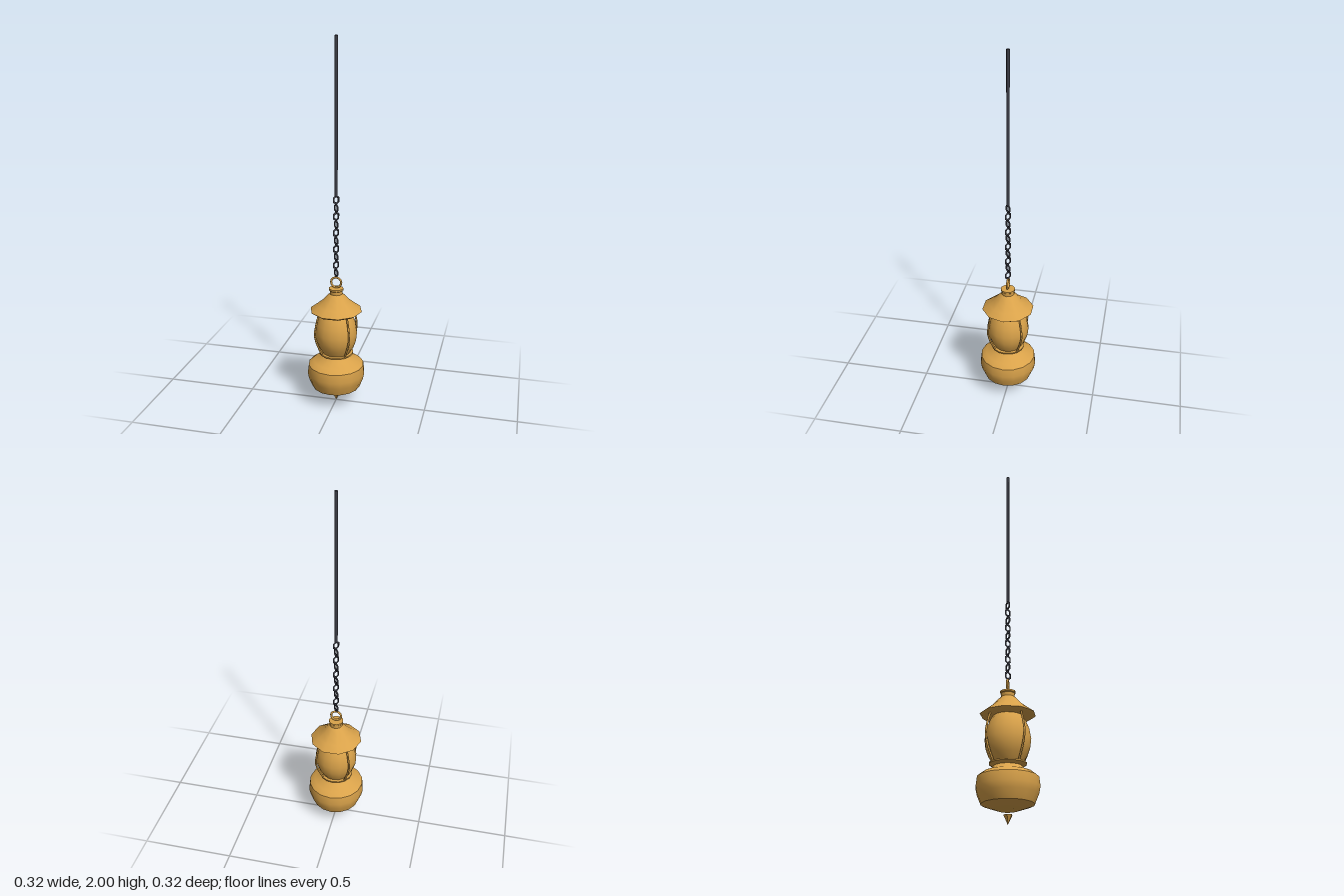
import * as THREE from 'three';
import { toCreasedNormals } from 'three/addons/utils/BufferGeometryUtils.js';

const brass = new THREE.MeshStandardMaterial({ color: 0xd9a24a });
brass.name = 'brass';
const iron = new THREE.MeshStandardMaterial({ color: 0x3a3b44 });
iron.name = 'dark iron';

function add(parent, name, geometry, material) {
  const mesh = new THREE.Mesh(geometry, material);
  mesh.name = name;
  parent.add(mesh);
  return mesh;
}

// Turned part from a profile of [radius, height], listed bottom to top
function turned(profile, sides) {
  const points = profile.map(([r, y]) => new THREE.Vector2(r, y));
  const geometry = new THREE.LatheGeometry(points, sides);
  geometry.rotateY(Math.PI / 2);
  return toCreasedNormals(geometry, 0.7);
}

export function createModel() {
  const model = new THREE.Group();
  model.name = 'hangingLantern';

  // Pointed finial under the bowl
  add(model, 'finial', turned([[0, 0], [0.024, 0.048], [0, 0.05]], 6), brass);

  // Oil bowl with its neck and collar
  add(model, 'bowl', turned([
    [0, 0.068], [0.05, 0.068], [0.132, 0.097], [0.152, 0.145], [0.159, 0.18],
    [0.153, 0.228], [0.125, 0.25], [0.09, 0.263], [0.072, 0.282],
    [0.094, 0.293], [0.094, 0.3], [0, 0.3],
  ], 16), brass);

  // Rounded globe
  add(model, 'globe', turned([
    [0.074, 0.295], [0.098, 0.335], [0.112, 0.375], [0.117, 0.42],
    [0.108, 0.47], [0.09, 0.515], [0.07, 0.545],
  ], 16), brass);

  // Four bent guard wires around the globe
  const wirePath = new THREE.CatmullRomCurve3([
    [0.088, 0.297], [0.115, 0.355], [0.134, 0.425], [0.124, 0.49], [0.108, 0.542],
  ].map(([r, y]) => new THREE.Vector3(r, y, 0)));
  for (let i = 0; i < 4; i++) {
    const wire = add(model, 'guardWire', new THREE.TubeGeometry(wirePath, 8, 0.0055, 5), brass);
    wire.rotation.y = Math.PI / 4 + i * Math.PI / 2;
  }

  // Flared roof with a short chimney
  add(model, 'roof', turned([
    [0, 0.542], [0.128, 0.537], [0.143, 0.548], [0.105, 0.576], [0.073, 0.602],
    [0.048, 0.63], [0.035, 0.642], [0.036, 0.66], [0.04, 0.664], [0.04, 0.673], [0, 0.673],
  ], 10), brass);

  // Hanging ring
  const ring = add(model, 'hangingRing', new THREE.TorusGeometry(0.028, 0.006, 6, 14), brass);
  ring.position.y = 0.706;

  // Chain of links, each turned a quarter from the last
  const chain = new THREE.Group();
  chain.name = 'chain';
  model.add(chain);
  const linkGeometry = new THREE.TorusGeometry(0.0165, 0.0055, 4, 6);
  linkGeometry.rotateZ(Math.PI / 6);
  linkGeometry.scale(1, 1.25, 1);
  linkGeometry.computeVertexNormals();
  for (let i = 0; i < 10; i++) {
    const link = add(chain, 'chainLink', linkGeometry, iron);
    link.position.y = 0.76 + i * 0.045;
    link.rotation.y = (i % 2 ? 1 : -1) * Math.PI / 4;
  }

  // Long rod above the chain
  const rod = add(model, 'rod', new THREE.CylinderGeometry(0.0085, 0.0085, 0.815, 8), iron);
  rod.position.y = 1.5925;

  return model;
}
